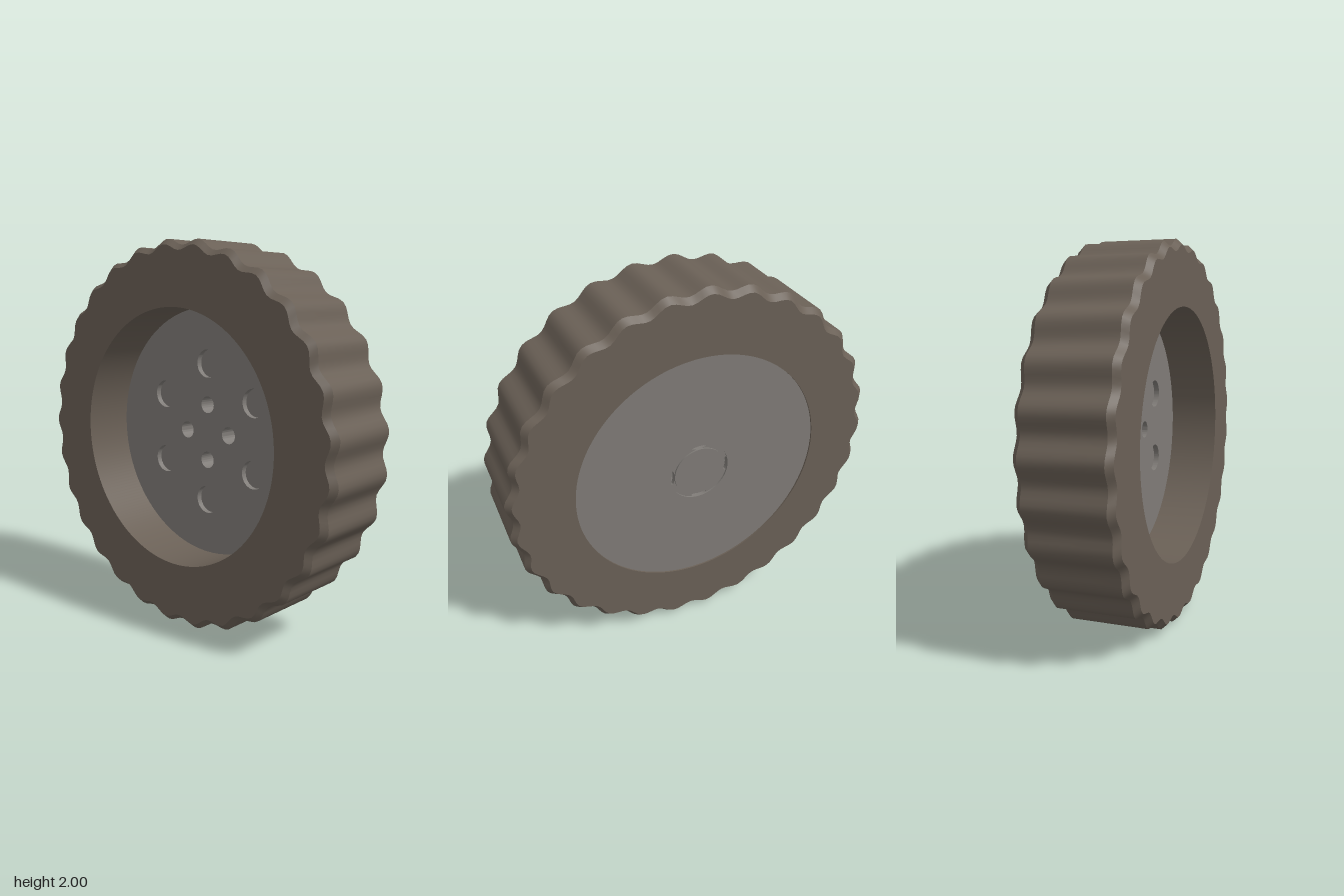
import * as THREE from 'three';
import { toCreasedNormals } from 'three/addons/utils/BufferGeometryUtils.js';

const HALF = 0.23, RIM = 0.665, LUGS = 29, HUB_R = 0.15;

export function createModel() {
  const group = new THREE.Group();
  const rubber = new THREE.MeshStandardMaterial({ color: 0x6a6056 });
  const metal = new THREE.MeshStandardMaterial({ color: 0x7f7b77 });

  function add(name, geometry, material) {
    const mesh = new THREE.Mesh(geometry, material);
    mesh.name = name;
    mesh.position.y = 1;
    group.add(mesh);
  }

  // Tyre: chamfered ring turned around x, its outer edge scalloped into lugs
  const profile = [
    [RIM, -HALF], [0.9, -HALF], [0.972, -HALF], [1, -0.2], [1, 0.2],
    [0.972, HALF], [0.9, HALF], [RIM, HALF], [RIM, -HALF],
  ].map(([r, x]) => new THREE.Vector2(r, x));
  const tyre = new THREE.LatheGeometry(profile, LUGS * 8);
  tyre.rotateZ(-Math.PI / 2);
  const pos = tyre.attributes.position;
  for (let i = 0; i < pos.count; i++) {
    const y = pos.getY(i), z = pos.getZ(i);
    if (Math.hypot(y, z) < 0.95) continue;
    const angle = Math.atan2(-z, y) - 0.049;
    const s = 1 - 0.017 * (1 - Math.cos(LUGS * angle));
    pos.setY(i, y * s);
    pos.setZ(i, z * s);
  }
  add('tyre', toCreasedNormals(tyre, 0.6), rubber);

  // Disc layer between two x positions, with elliptical holes [radius, angle, radial, tangential]
  function layer(name, x0, x1, radius, holes) {
    const shape = new THREE.Shape().absarc(0, 0, radius, 0, Math.PI * 2);
    for (const [r, a, w, h] of holes) {
      shape.holes.push(new THREE.Path().absellipse(
        r * Math.cos(a), r * Math.sin(a), w, h, 0, Math.PI * 2, true, a));
    }
    const geo = new THREE.ExtrudeGeometry(shape, { depth: x1 - x0, bevelEnabled: false, curveSegments: 48 });
    geo.rotateY(Math.PI / 2);
    geo.translate(x0, 0, 0);
    add(name, toCreasedNormals(geo, 0.6), metal);
  }

  const around = (n, start, make) =>
    Array.from({ length: n }, (_, i) => make(start + (i * Math.PI * 2) / n));
  const bores = around(4, 0, a => [HUB_R, a, 0.045, 0.045]);
  const slits = around(4, 0, a => [HUB_R, a, 0.012, 0.042]);
  const dents = around(6, Math.PI / 6, a => [0.37, a, 0.075, 0.075]);

  // Wheel disc: dented inner face, bored core, slit outer plate
  layer('discInnerFace', 0.04, 0.07, RIM, [...bores, ...dents]);
  layer('discCore', 0.07, 0.19, RIM, bores);
  layer('discOuterPlate', 0.19, 0.214, RIM, slits);

  // Outer skin and hub cap, leaving a shallow ring groove between them
  layer('discOuterSkin', 0.214, 0.222, RIM, [[0, 0, 0.161, 0.161]]);
  layer('hubCap', 0.214, 0.222, 0.139, []);

  return group;
}
